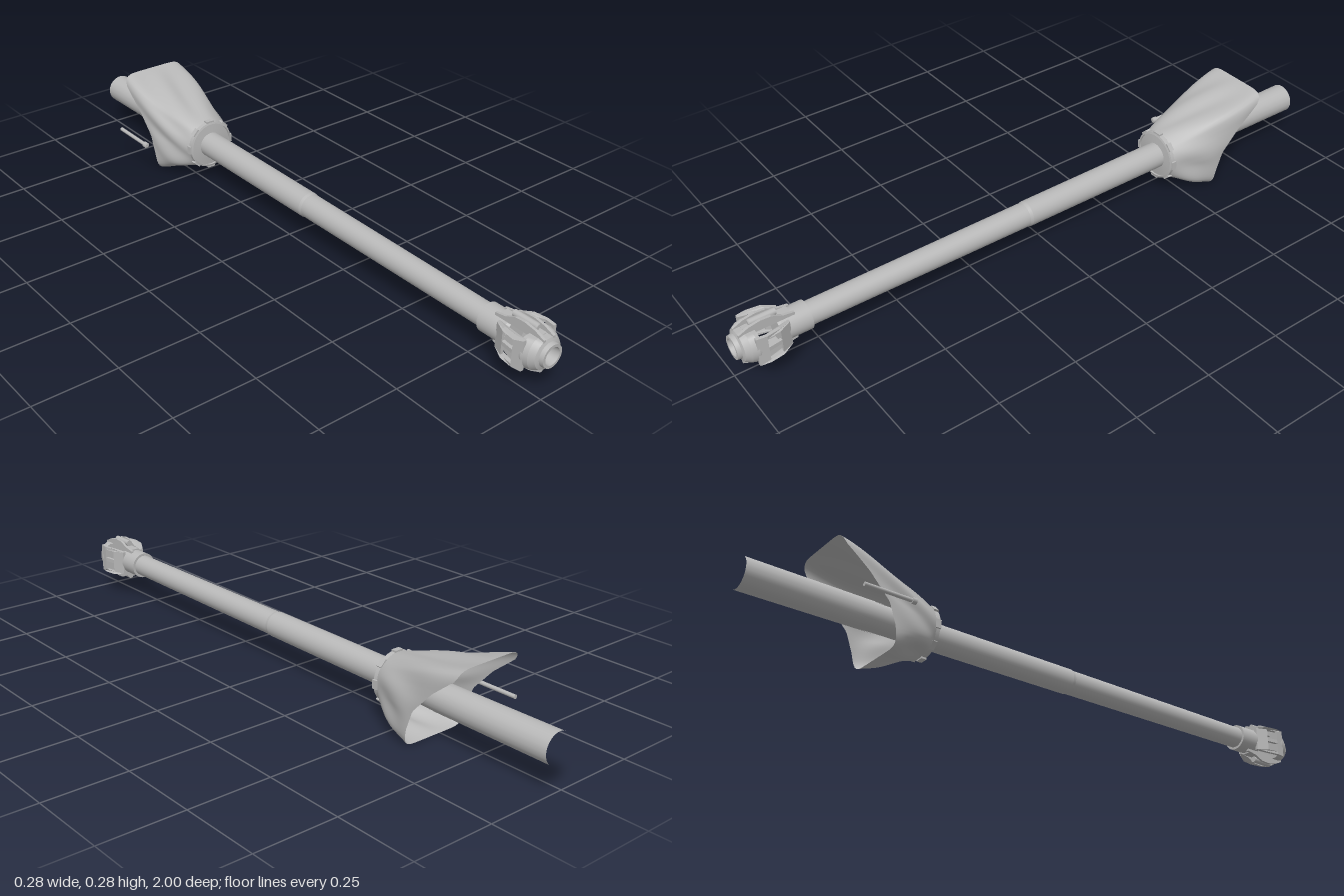
import * as THREE from 'three';

export function createModel() {
  const root = new THREE.Group();
  const axis = new THREE.Group(); // everything on the pole's centre line
  axis.name = 'poleAssembly';
  axis.position.set(0.025, 0.125, 0);
  root.add(axis);

  const grey = new THREE.MeshStandardMaterial({ color: 0xb8b8b8 });
  grey.name = 'plain grey';
  const cloth = new THREE.MeshStandardMaterial({ color: 0xb8b8b8, side: THREE.DoubleSide });
  cloth.name = 'cloth grey';

  function add(name, geo, parent = axis, mat = grey) {
    const m = new THREE.Mesh(geo, mat);
    m.name = name;
    parent.add(m);
    return m;
  }
  // Turned part: each [radius, z] span gets its own crisp edge
  function turned(name, pts, parent = axis, seg = 40, flatY = 0) {
    const g = new THREE.Group();
    g.name = name;
    for (let i = 0; i < pts.length - 1; i++) {
      const geo = new THREE.LatheGeometry([pts[i], pts[i + 1]].map(p => new THREE.Vector2(...p)), seg);
      geo.rotateX(Math.PI / 2);
      if (flatY) {
        const p = geo.attributes.position;
        for (let k = 0; k < p.count; k++) p.setY(k, THREE.MathUtils.clamp(p.getY(k), -flatY, flatY));
        geo.computeVertexNormals();
      }
      add(name, geo, g);
    }
    parent.add(g);
    return g;
  }
  function box(name, w, h, d, x, y, z, parent) {
    return add(name, new THREE.BoxGeometry(w, h, d).translate(x, y, z), parent);
  }
  // Piecewise linear lookup
  function lookup(table, v) {
    for (let i = 1; i < table.length; i++) {
      const [a, fa] = table[i - 1], [b, fb] = table[i];
      if (v <= b) return fa + (fb - fa) * Math.max(0, (v - a) / (b - a));
    }
    return table[table.length - 1][1];
  }

  // Main pole, with a small step near the middle
  turned('pole', [[0.041, -0.72], [0.039, 0.06], [0.037, 0.07], [0.034, 0.8]]);

  // Open rear tube with a ragged front edge
  const rear = new THREE.CylinderGeometry(0.0425, 0.045, 1, 36, 1, true).rotateX(Math.PI / 2);
  const rp = rear.attributes.position;
  for (let i = 0; i < rp.count; i++) {
    const jag = -0.66 + (i % 2 ? 0.05 : 0) + 0.03 * Math.sin(((i % 37) / 36) * Math.PI * 4);
    rp.setZ(i, rp.getZ(i) > 0 ? jag : -1);
  }
  rear.computeVertexNormals();
  add('rearTube', rear);

  // Cloth hood: round at the collar, flaring to a slanted rounded square
  const hood = new THREE.CylinderGeometry(1, 1, 1, 96, 24, true);
  const hp = hood.attributes.position, uv = hood.attributes.uv;
  const rim = [[0.005, -0.594], [0.06, -0.604], [0.12, -0.625], [0.19, -0.69], [0.25, -0.765], [0.28, -0.778]];
  for (let i = 0; i < hp.count; i++) {
    const a = uv.getX(i) * Math.PI * 2, t = 1 - uv.getY(i);
    const s = Math.sin(a), c = -Math.cos(a);
    const k = 1 / Math.pow(Math.abs(s) ** 8 + Math.abs(c) ** 8, 1 / 8);
    const endX = s * k * 0.113, endY = 0.0175 + c * k * 0.1375;
    const ex = 1 - (1 - t) ** 2;
    const fold = 0.004 * Math.sin(a * 7 + t * 5) * 4 * t * (1 - t);
    const x = THREE.MathUtils.lerp(s * 0.074, endX, ex) + s * fold;
    const y = THREE.MathUtils.lerp(c * 0.074, endY, t) + c * fold;
    const z = THREE.MathUtils.lerp(-0.447, lookup(rim, endY + 0.125), t);
    hp.setXYZ(i, x, y, z);
  }
  hood.computeVertexNormals();
  add('hood', hood, axis, cloth);

  // Collar that holds the hood on the pole, with small clips round it
  turned('hoodCollar', [[0.072, -0.462], [0.077, -0.455], [0.077, -0.442], [0.071, -0.44], [0.071, -0.446], [0.038, -0.442]]);
  for (let i = 0; i < 8; i++) {
    const clip = box('collarClip', 0.026, 0.007, 0.016, 0, 0.078, -0.45);
    clip.rotation.z = (i / 8) * Math.PI * 2;
  }

  // Head: sleeve, flattened nose with a bore
  const head = new THREE.Group();
  head.name = 'head';
  axis.add(head);
  turned('headSleeve', [[0.034, 0.785], [0.042, 0.785], [0.042, 0.868], [0.036, 0.876], [0, 0.876]], head);
  turned('headNose', [[0, 0.94], [0.06, 0.94], [0.061, 0.95], [0.056, 0.968], [0.046, 0.984], [0.036, 0.988],
    [0.034, 1], [0.026, 1], [0.023, 0.97], [0, 0.97]], head, 48, 0.045);

  // Curved side cheek with two windows, as a shape in z and y
  const outline = [[0.85, -0.038], [0.885, -0.045], [0.925, -0.045], [0.955, -0.045],
    [0.955, 0.045], [0.925, 0.045], [0.885, 0.045], [0.85, 0.038]];
  const cheek = new THREE.Shape(outline.map(p => new THREE.Vector2(...p)));
  for (const y of [-0.021, 0.021]) {
    cheek.holes.push(new THREE.Path([[0.885, y - 0.015], [0.885, y + 0.015], [0.925, y + 0.015], [0.925, y - 0.015]]
      .map(p => new THREE.Vector2(...p))));
  }
  const bulge = [[0.85, 0.03], [0.885, 0.047], [0.925, 0.053], [0.955, 0.049]];

  // Two mirrored halves: a cheek, a pair of ribs and a bolt each
  for (let side = 0; side < 2; side++) {
    const half = new THREE.Group();
    half.name = 'headHalf';
    half.rotation.z = side * Math.PI;
    head.add(half);

    const geo = new THREE.ExtrudeGeometry(cheek, { depth: 0.01, bevelEnabled: false }).rotateY(-Math.PI / 2);
    const p = geo.attributes.position;
    for (let i = 0; i < p.count; i++) p.setX(i, p.getX(i) - lookup(bulge, p.getZ(i)));
    geo.computeVertexNormals();
    add('cheek', geo, half);

    const rib = new THREE.Shape([[0.825, 0.036], [0.985, 0.036], [0.985, 0.047], [0.955, 0.06],
      [0.92, 0.066], [0.89, 0.064], [0.86, 0.05], [0.825, 0.044]].map(q => new THREE.Vector2(...q)));
    for (const x of [-0.013, 0.021]) {
      const ribGeo = new THREE.ExtrudeGeometry(rib, { depth: 0.008, bevelEnabled: false }).rotateY(-Math.PI / 2);
      add('rib', ribGeo.translate(x, 0, 0), half);
    }
    box('ribBridge', 0.03, 0.006, 0.13, 0, 0.043, 0.9, half);
    const bolt = turned('bolt', [[0, 0.87], [0.01, 0.87], [0.01, 0.945], [0.006, 0.948], [0, 0.948]], half, 16);
    bolt.position.y = 0.058;
  }

  // Loose pin floating beside the hood
  const pin = turned('loosePin', [[0, -0.73], [0.006, -0.73], [0.006, -0.588], [0.009, -0.588], [0.009, -0.575],
    [0.005, -0.573], [0, -0.573]], root, 14);
  pin.position.set(-0.136, 0.117, 0);

  return root;
}
